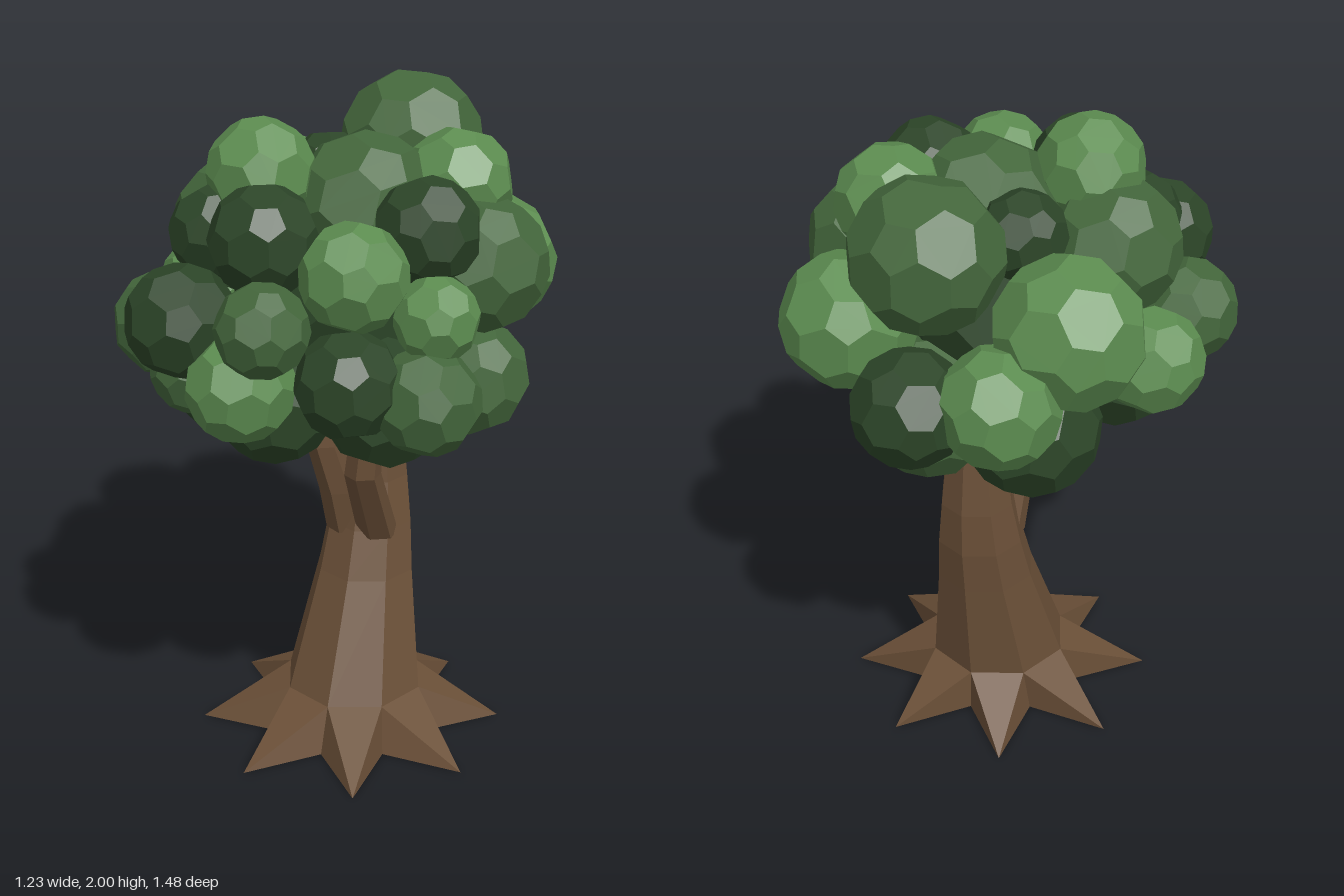
import * as THREE from 'three';
import { ConvexGeometry } from 'three/addons/geometries/ConvexGeometry.js';

const bark = new THREE.MeshStandardMaterial({ color: 0x6b5038, flatShading: true });
const leaf = {
  L: new THREE.MeshStandardMaterial({ color: 0x5c8c50, flatShading: true }),
  M: new THREE.MeshStandardMaterial({ color: 0x44673c, flatShading: true }),
  D: new THREE.MeshStandardMaterial({ color: 0x2c4528, flatShading: true }),
};

// Point on a circle, angle measured from +z towards +x
const polar = (cx, y, cz, r, a) => [cx + r * Math.sin(a), y, cz + r * Math.cos(a)];

function facets(name, tris) {
  const g = new THREE.BufferGeometry();
  g.setAttribute('position', new THREE.Float32BufferAttribute(tris.flat(), 3));
  g.computeVertexNormals();
  const m = new THREE.Mesh(g, bark);
  m.name = name;
  return m;
}

// Skin over horizontal rings given as [y, cx, cz, radius], from bottom to top
function loft(name, rings, sides) {
  const tris = [];
  const at = ([y, cx, cz, r], k) => polar(cx, y, cz, r, (k / sides) * Math.PI * 2);
  for (let i = 0; i < rings.length - 1; i++) {
    for (let k = 0; k < sides; k++) {
      const a = at(rings[i], k), b = at(rings[i], k + 1);
      const c = at(rings[i + 1], k + 1), d = at(rings[i + 1], k);
      tris.push(a, b, c, a, c, d);
    }
  }
  return facets(name, tris);
}

// Star-shaped flare of eight pointed roots
function roots() {
  const tris = [], step = Math.PI / 4, centre = [0.05, 0, 0.025];
  for (let k = 0; k < 8; k++) {
    const a0 = k * step, a1 = a0 + step;
    const topA = polar(0.05, 0.14, 0, 0.22, a0), topB = polar(0.05, 0.14, 0, 0.22, a1);
    const valleyA = polar(0.05, 0, 0.025, 0.25, a0), valleyB = polar(0.05, 0, 0.025, 0.25, a1);
    const tip = polar(0.05, 0, 0.025, 0.471, a0 + step / 2);
    tris.push(valleyA, tip, topA, tip, topB, topA, tip, valleyB, topB);
    tris.push(centre, tip, valleyA, centre, valleyB, tip);
  }
  return facets('roots', tris);
}

// Unit ball of pentagons and hexagons: an icosahedron with its corners cut off
function leafBall() {
  const t = (1 + Math.sqrt(5)) / 2, corners = [], points = [];
  for (const a of [-1, 1]) for (const b of [-t, t]) {
    corners.push(new THREE.Vector3(0, a, b), new THREE.Vector3(a, b, 0), new THREE.Vector3(b, 0, a));
  }
  for (const p of corners) for (const q of corners) {
    if (p !== q && p.distanceTo(q) < 2.1) points.push(p.clone().lerp(q, 0.32).normalize());
  }
  return new ConvexGeometry(points);
}

// Leaf clumps: x, y, z, radius, shade
const clumps = [
  // crown
  [0.06, 1.785, -0.44, 0.22, 'M'], [0.31, 1.76, -0.15, 0.165, 'L'], [0.08, 1.7, 0, 0.225, 'M'],
  [-0.28, 1.63, 0.07, 0.205, 'M'], [-0.18, 1.82, 0.15, 0.16, 'L'], [-0.1, 1.74, -0.16, 0.13, 'D'],
  [-0.07, 1.7, 0.38, 0.16, 'D'], [0.21, 1.64, 0.41, 0.155, 'L'], [0.33, 1.71, 0.16, 0.155, 'D'],
  [-0.29, 1.65, 0.22, 0.14, 'D'],
  // middle
  [-0.31, 1.57, -0.33, 0.22, 'L'], [0.35, 1.47, -0.355, 0.203, 'L'], [0.42, 1.56, -0.05, 0.2, 'M'],
  [-0.46, 1.37, -0.07, 0.155, 'L'], [-0.45, 1.36, 0.25, 0.158, 'M'], [-0.28, 1.47, 0.48, 0.165, 'D'],
  [0.025, 1.53, 0.61, 0.133, 'M'], [0.41, 1.51, 0.3, 0.123, 'L'],
  [0.055, 1.38, -0.575, 0.17, 'D'], [-0.19, 1.42, -0.53, 0.175, 'L'],
  // lower skirt
  [0.41, 1.29, 0.365, 0.155, 'M'], [0.21, 1.34, 0.45, 0.155, 'D'], [-0.08, 1.32, 0.53, 0.158, 'L'],
  [-0.08, 1.19, 0.3, 0.185, 'D'], [-0.27, 1.19, 0.15, 0.195, 'D'], [0.15, 1.18, -0.26, 0.22, 'M'],
  [-0.3, 1.28, 0.36, 0.135, 'M'], [0.4, 1.205, -0.05, 0.175, 'M'], [0.22, 1.2, 0.21, 0.195, 'D'],
  [-0.18, 1.2, -0.28, 0.205, 'D'],
  // hidden core
  [0, 1.43, 0, 0.32, 'D'],
];

export function createModel() {
  const tree = new THREE.Group();
  tree.name = 'tree';

  tree.add(roots());
  tree.add(loft('trunk', [
    [0.14, 0.05, 0, 0.22], [0.5, 0.05, -0.1, 0.155], [0.65, 0.05, -0.135, 0.136],
    [0.8, 0.05, -0.155, 0.115], [0.98, 0.05, -0.155, 0.095], [1.25, 0.05, -0.14, 0.085],
  ], 8));
  tree.add(loft('leftBranch', [
    [0.63, 0.103, -0.065, 0.064], [0.91, 0.122, 0.115, 0.056],
    [1.06, 0.14, 0.125, 0.05], [1.25, 0.15, 0.14, 0.044],
  ], 6));
  tree.add(loft('rightBranch', [
    [0.63, -0.003, -0.07, 0.064], [0.78, -0.013, -0.025, 0.06], [0.95, -0.042, 0.025, 0.054],
    [1.06, -0.06, 0.035, 0.05], [1.25, -0.07, 0.04, 0.044],
  ], 6));

  // Foliage of faceted balls, each turned differently
  const foliage = new THREE.Group();
  foliage.name = 'foliage';
  const ball = leafBall();
  clumps.forEach(([x, y, z, r, shade], i) => {
    const m = new THREE.Mesh(ball, leaf[shade]);
    m.name = 'leafClump' + (i + 1);
    m.position.set(x, y, z);
    m.scale.setScalar(r);
    m.rotation.set(i * 1.3, i * 2.1, i * 0.7);
    foliage.add(m);
  });
  tree.add(foliage);
  return tree;
}
